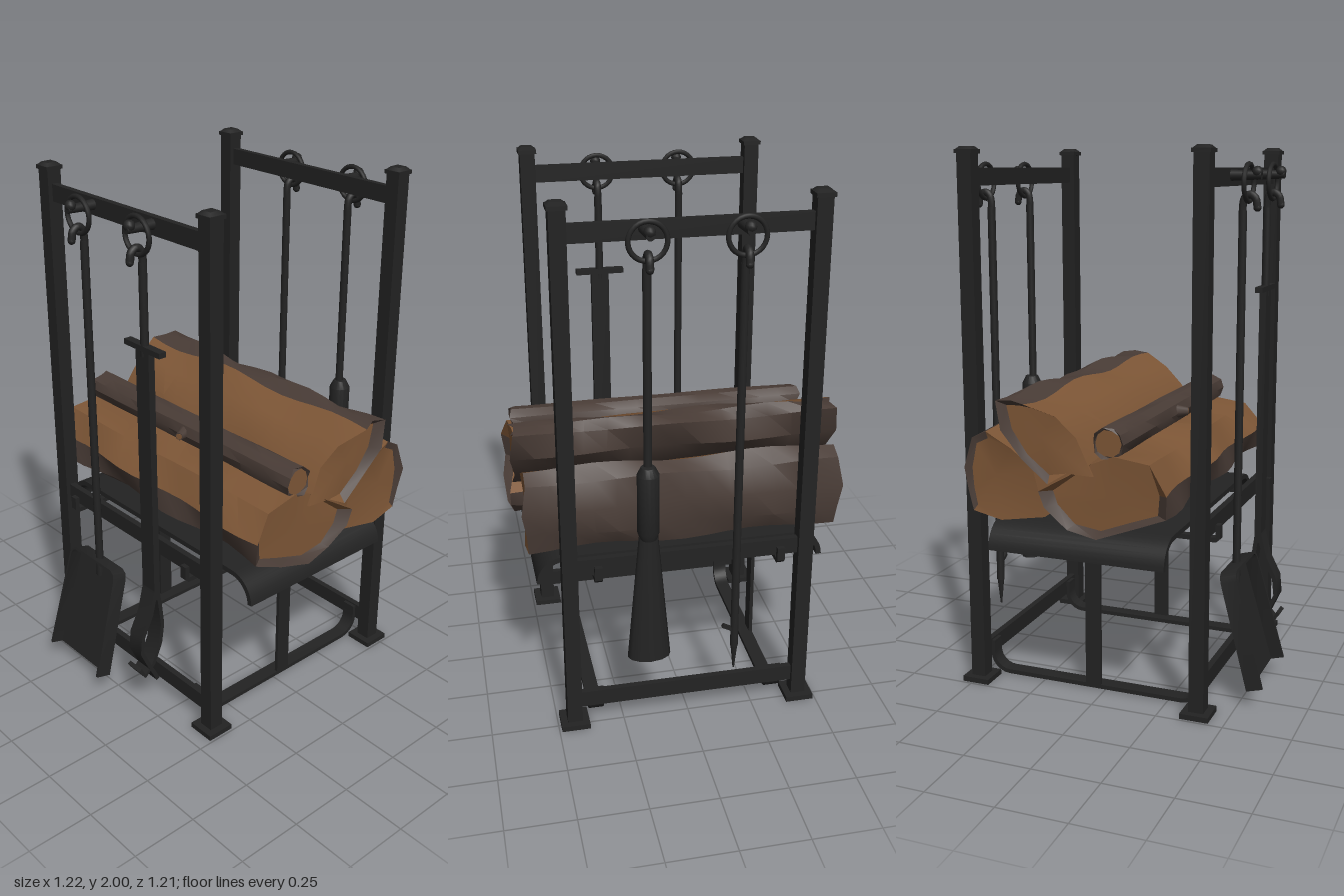
import * as THREE from 'three';
import { toCreasedNormals } from 'three/addons/utils/BufferGeometryUtils.js';

const FRONT = 0.39, BACK = -0.485;

export function createModel() {
  const model = new THREE.Group();
  model.name = 'firewoodRack';
  const flat = (name, color) => {
    const m = new THREE.MeshStandardMaterial({ color });
    m.name = name;
    return m;
  };
  const iron = flat('black iron', 0x232323);
  const wood = flat('split wood', 0x7d5636);
  const bark = flat('bark', 0x493c36);

  const add = (name, geo, x = 0, y = 0, z = 0, mat = iron, parent = model) => {
    const m = new THREE.Mesh(geo, mat);
    m.name = name;
    m.position.set(x, y, z);
    parent.add(m);
    return m;
  };
  const box = (name, w, h, d, x, y, z, parent = model) =>
    add(name, new THREE.BoxGeometry(w, h, d), x, y, z, iron, parent);
  const rod = (name, r, y0, y1, x, z, rBottom = r) =>
    add(name, new THREE.CylinderGeometry(r, rBottom, y1 - y0, 12), x, (y0 + y1) / 2, z);

  // Flat bar bent along a 2D path, extruded to the given width about its middle
  const strip = (path, thick, width) => {
    const a = [], b = [];
    path.forEach(([x, y], i) => {
      const p = path[Math.max(i - 1, 0)], n = path[Math.min(i + 1, path.length - 1)];
      const l = Math.hypot(n[0] - p[0], n[1] - p[1]);
      const nx = -(n[1] - p[1]) / l * thick / 2, ny = (n[0] - p[0]) / l * thick / 2;
      a.push(new THREE.Vector2(x + nx, y + ny));
      b.unshift(new THREE.Vector2(x - nx, y - ny));
    });
    const g = new THREE.ExtrudeGeometry(new THREE.Shape([...a, ...b]), { depth: width, bevelEnabled: false });
    return toCreasedNormals(g.translate(0, 0, -width / 2), 0.6);
  };
  // Same, with the path given as [z, y] and the width running along x
  const sideStrip = (path, thick, width) => strip(path, thick, width).rotateY(-Math.PI / 2);
  const arc = (cx, cy, r, a0, a1, n = 6) => Array.from({ length: n + 1 }, (_, i) => {
    const a = a0 + (a1 - a0) * i / n;
    return [cx + r * Math.cos(a), cy + r * Math.sin(a)];
  });

  // Posts with base plates and caps, joined by rails
  for (const z of [FRONT, BACK]) {
    for (const x of [-0.437, 0.437]) {
      box('post', 0.056, 1.98, 0.056, x, 0.99, z);
      box('basePlate', 0.107, 0.02, 0.107, x, 0.01, z);
      box('postCap', 0.068, 0.014, 0.068, x, 1.982, z);
      add('capPyramid', new THREE.CylinderGeometry(0.027, 0.045, 0.012, 4).rotateY(Math.PI / 4), x, 1.994, z);
    }
    for (const y of [0.105, 0.677, 1.894]) box('rail', 0.84, 0.063, 0.023, 0, y, z);
  }

  // Side straps, legs and hooked tray supports
  const PI = Math.PI;
  const strapPath = [[FRONT - 0.017, 0.13], ...arc(0.303, 0.083, 0.07, 0, -PI / 2),
    ...arc(-0.398, 0.083, 0.07, -PI / 2, -PI), [BACK + 0.017, 0.13]];
  const hookPath = [[0.428, 0.69], [0.428, 0.64], [0.422, 0.634], [-0.517, 0.634], [-0.523, 0.64], [-0.523, 0.69]];
  for (const s of [-1, 1]) {
    add('baseStrap', sideStrip(strapPath, 0.016, 0.055), s * 0.348);
    box('trayLeg', 0.014, 0.64, 0.06, s * 0.37, 0.335, -0.045);
    add('traySupport', sideStrip(hookPath, 0.018, 0.028), s * 0.337);
  }

  // Tray with curled-down sides
  const trayPath = [...arc(-0.44, 0.56, 0.095, PI, PI / 2, 8), ...arc(0.44, 0.56, 0.095, PI / 2, 0, 8)];
  add('tray', strip(trayPath, 0.02, 0.68), 0, 0, -0.045);

  // Peg, ring and shaft for each hanging tool; returns the shaft's z
  const hanger = (x, s, yEnd) => {
    const rail = s > 0 ? FRONT : BACK, z = u => rail + s * u;
    add('peg', new THREE.CylinderGeometry(0.014, 0.02, 0.12, 12).rotateX(s * PI / 2), x, 1.9, z(0.06));
    add('pegEnd', new THREE.SphereGeometry(0.02, 12, 8), x, 1.912, z(0.105));
    add('ring', new THREE.TorusGeometry(0.064, 0.009, 8, 28), x, 1.875, z(0.075));
    const curve = new THREE.CatmullRomCurve3([[0.055, 1.74], [0.055, 1.8], [0.062, 1.825],
      [0.08, 1.835], [0.1, 1.822], [0.107, 1.79]].map(([u, y]) => new THREE.Vector3(x, y, z(u))));
    add('toolHook', new THREE.TubeGeometry(curve, 20, 0.014, 8));
    add('hookTip', new THREE.SphereGeometry(0.014, 10, 8), x, 1.79, z(0.107));
    rod('toolShaft', 0.015, yEnd, 1.78, x, z(0.055));
    return z(0.055);
  };

  // Shovel
  const xl = -0.165, xr = 0.16;
  hanger(xl, 1, 0.42);
  const shovel = new THREE.Group();
  shovel.name = 'shovel';
  shovel.position.set(xl, 0.275, 0.478);
  shovel.rotation.x = -0.267;
  model.add(shovel);
  const pan = [[-0.154, -0.218], [-0.138, 0.19], [-0.13, 0.208], [-0.112, 0.217],
    [0.112, 0.217], [0.13, 0.208], [0.138, 0.19], [0.154, -0.218]];
  add('shovelPan', new THREE.ExtrudeGeometry(new THREE.Shape(pan.map(p => new THREE.Vector2(...p))),
    { depth: 0.012, bevelEnabled: false }), 0, 0, 0, iron, shovel);
  add('shovelWall', strip(pan, 0.01, 0.062), 0, 0, 0.031, iron, shovel);
  box('shovelSocket', 0.05, 0.12, 0.02, 0, 0.15, -0.005, shovel);

  // Tongs with a crossbar handle and two bowed jaws
  const zt = hanger(xr, 1, 1.45);
  box('tongsHandle', 0.19, 0.02, 0.03, xr, 1.48, zt);
  box('tongsArms', 0.07, 1.0, 0.026, xr, 0.98, zt);
  add('tongsJaw', sideStrip([[0.442, 0.52], [0.43, 0.43], [0.423, 0.36], [0.435, 0.28], [0.47, 0.2], [0.51, 0.16],
    [0.535, 0.2]], 0.016, 0.07), xr);
  add('tongsJaw', sideStrip([[0.45, 0.52], [0.475, 0.42], [0.515, 0.34], [0.522, 0.27], [0.49, 0.2],
    [0.45, 0.12]], 0.016, 0.07), xr);

  // Brush with a flattened, flared head
  const zb = hanger(xr, -1, 1.05);
  const grip = [[0, 1.085], [0.025, 1.08], [0.04, 1.05], [0.04, 0.83], [0.03, 0.8], [0, 0.8]];
  add('brushFerrule', toCreasedNormals(new THREE.LatheGeometry(
    grip.map(p => new THREE.Vector2(...p)).reverse(), 16), 0.5), xr, 0, zb - 0.005);
  const head = rod('brushBristles', 0.035, 0.31, 0.81, xr, zb - 0.005, 0.08);
  head.scale.z = 0.62;

  // Poker with a side barb
  const zp = hanger(xl, -1, 0.3);
  rod('pokerTip', 0.013, 0.2, 0.3, xl, zp, 0.003);
  const barb = box('pokerBarb', 0.055, 0.014, 0.014, xl + 0.022, 0.38, zp);
  barb.rotation.z = 0.5;

  // Log lofted along x from a [z, y] outline; edges b0 to b1 carry bark
  const log = (name, outline, b0, b1, woodEnd, barkEnd, seed, wobble) => {
    const n = outline.length, N = 14, tris = { bark: [], wood: [] };
    const c = [0, 1].map(j => outline.reduce((t, p) => t + p[j], 0) / n);
    const isBark = k => k >= b0 && k < b1;
    const barkPoint = k => isBark(k) || isBark((k + n - 1) % n);
    const P = (i, k) => {
      k %= n;
      const t = i / N * 2 - 1, end = barkPoint(k) ? barkEnd : woodEnd;
      const w = wobble * Math.sin(i * 0.9 + k * 2.3 + seed) * (barkPoint(k) ? 1 : 0.5);
      const v = wobble * Math.sin(i * 0.6 + k * 1.7 + seed * 2);
      const [z, y] = outline[k];
      const r = 1 + w / 0.13;
      return [t * (end + 0.012 * Math.sin(k * 2 + seed)), c[1] + (y - c[1]) * r + v * 0.3, c[0] + (z - c[0]) * r];
    };
    const quad = (m, p, q, r, s) => tris[m].push(...p, ...q, ...r, ...q, ...s, ...r);
    for (let k = 0; k < n; k++) {
      for (let i = 0; i < N; i++) {
        quad(isBark(k) ? 'bark' : 'wood', P(i, k), P(i + 1, k), P(i, k + 1), P(i + 1, k + 1));
      }
      // End faces: bark rim around a wood core
      for (const s of [-1, 1]) {
        const i = s > 0 ? N : 0, mid = [s * woodEnd, c[1], c[0]];
        const inner = q => {
          const p = P(i, q);
          if (!barkPoint(q % n)) return p;
          return [s * woodEnd, p[1] + (mid[1] - p[1]) * 0.16, p[2] + (mid[2] - p[2]) * 0.16];
        };
        const [a, b] = s > 0 ? [k + 1, k] : [k, k + 1];
        tris.wood.push(...mid, ...inner(a), ...inner(b));
        if (barkPoint(k) || barkPoint((k + 1) % n)) {
          quad(isBark(k) ? 'bark' : 'wood', P(i, a), P(i, b), inner(a), inner(b));
        }
      }
    }
    const group = new THREE.Group();
    group.name = name;
    model.add(group);
    for (const [key, mat] of [['bark', bark], ['wood', wood]]) {
      const g = new THREE.BufferGeometry();
      g.setAttribute('position', new THREE.Float32BufferAttribute(tris[key], 3));
      add(name + (key === 'bark' ? 'Bark' : 'Wood'), toCreasedNormals(g, 0.55), 0, 0, 0, mat, group);
    }
  };

  log('frontLog', [[0.25, 0.94], [0.12, 0.965], [0.03, 0.93], [-0.13, 0.82], [-0.14, 0.76], [-0.05, 0.69],
    [0.07, 0.68], [0.22, 0.715], [0.31, 0.765], [0.32, 0.85]], 3, 9, 0.57, 0.6, 1, 0.01);
  log('backLog', [[-0.145, 0.71], [-0.19, 0.89], [-0.27, 0.96], [-0.37, 1.02], [-0.42, 0.98], [-0.445, 0.88],
    [-0.445, 0.79], [-0.42, 0.72], [-0.31, 0.69]], 3, 7, 0.565, 0.58, 4, 0.007);
  log('topLog', [[0.04, 0.89], [-0.02, 1.01], [-0.1, 1.08], [-0.2, 1.13], [-0.26, 1.145], [-0.3, 1.12],
    [-0.295, 1.03], [-0.22, 0.93], [-0.12, 0.86], [-0.05, 0.88]], 3, 8, 0.565, 0.6, 2.5, 0.011);
  log('branch', arc(0.1, 1.005, 0.058, 0, 2 * PI, 10).slice(0, 10), 0, 10, 0.565, 0.57, 0.5, 0.004);
  const knot = add('branchKnot', new THREE.CylinderGeometry(0.016, 0.03, 0.06, 8).rotateX(PI / 2), 0.01, 1.01, 0.158, bark);
  knot.rotation.y = 0.4;
  add('knotFace', new THREE.CylinderGeometry(0.012, 0.012, 0.004, 8).rotateX(PI / 2), 0, 0, 0.031, wood, knot);

  return model;
}
